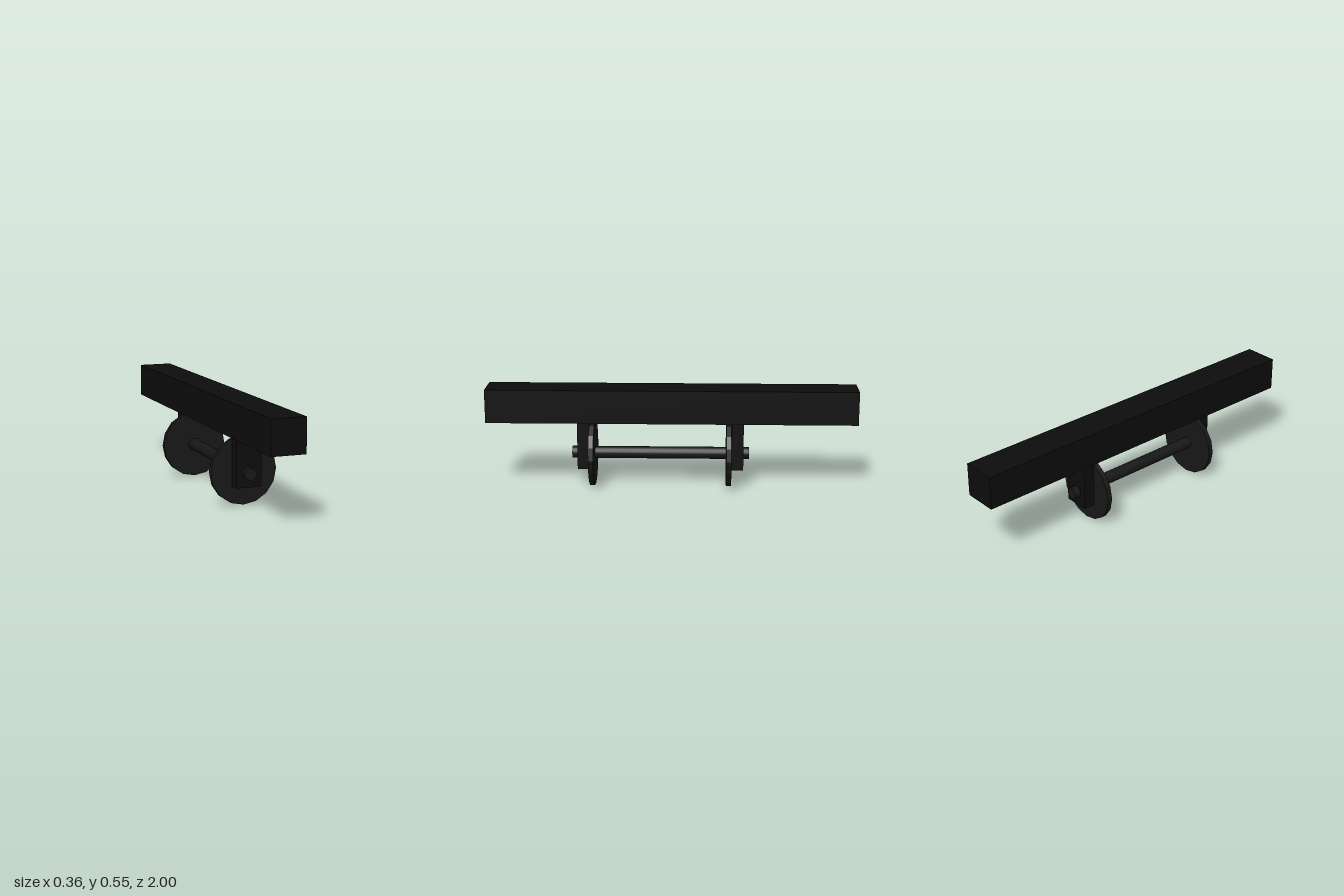
import * as THREE from 'three';

export function createModel() {
  const model = new THREE.Group();
  const beamPaint = new THREE.MeshStandardMaterial({ color: 0x0c0c0c, flatShading: true });
  const wheelPaint = new THREE.MeshStandardMaterial({ color: 0x171717, flatShading: true });
  const axlePaint = new THREE.MeshStandardMaterial({ color: 0x171717 });

  const add = (name, geometry, material, x, y, z) => {
    const mesh = new THREE.Mesh(geometry, material);
    mesh.name = name;
    mesh.position.set(x, y, z);
    model.add(mesh);
  };
  // Cylinder lying along z
  const rod = (radius, length) =>
    new THREE.CylinderGeometry(radius, radius, length, 16).rotateX(Math.PI / 2);

  const offsetX = 0.002; // beam and hangers sit slightly off the axle line
  const axleY = 0.181;
  const middleZ = 0.06; // wheelset centre along the beam

  // Long square beam
  add('beam', new THREE.BoxGeometry(0.185, 0.182, 2), beamPaint, offsetX, 0.457, 0);

  // Axle through both wheels and hangers
  add('axle', rod(0.033, 0.963), axlePaint, 0, axleY, middleZ);

  // Wheel disc inside, hanger plate outside, at each end
  for (const [end, side] of [['front', 1], ['back', -1]]) {
    add(end + 'Wheel', rod(0.181, 0.027), wheelPaint, 0, axleY, middleZ + side * 0.37);
    add(end + 'Hanger', new THREE.BoxGeometry(0.137, 0.27, 0.064), beamPaint,
      offsetX, 0.239, middleZ + side * 0.417);
  }
  return model;
}
